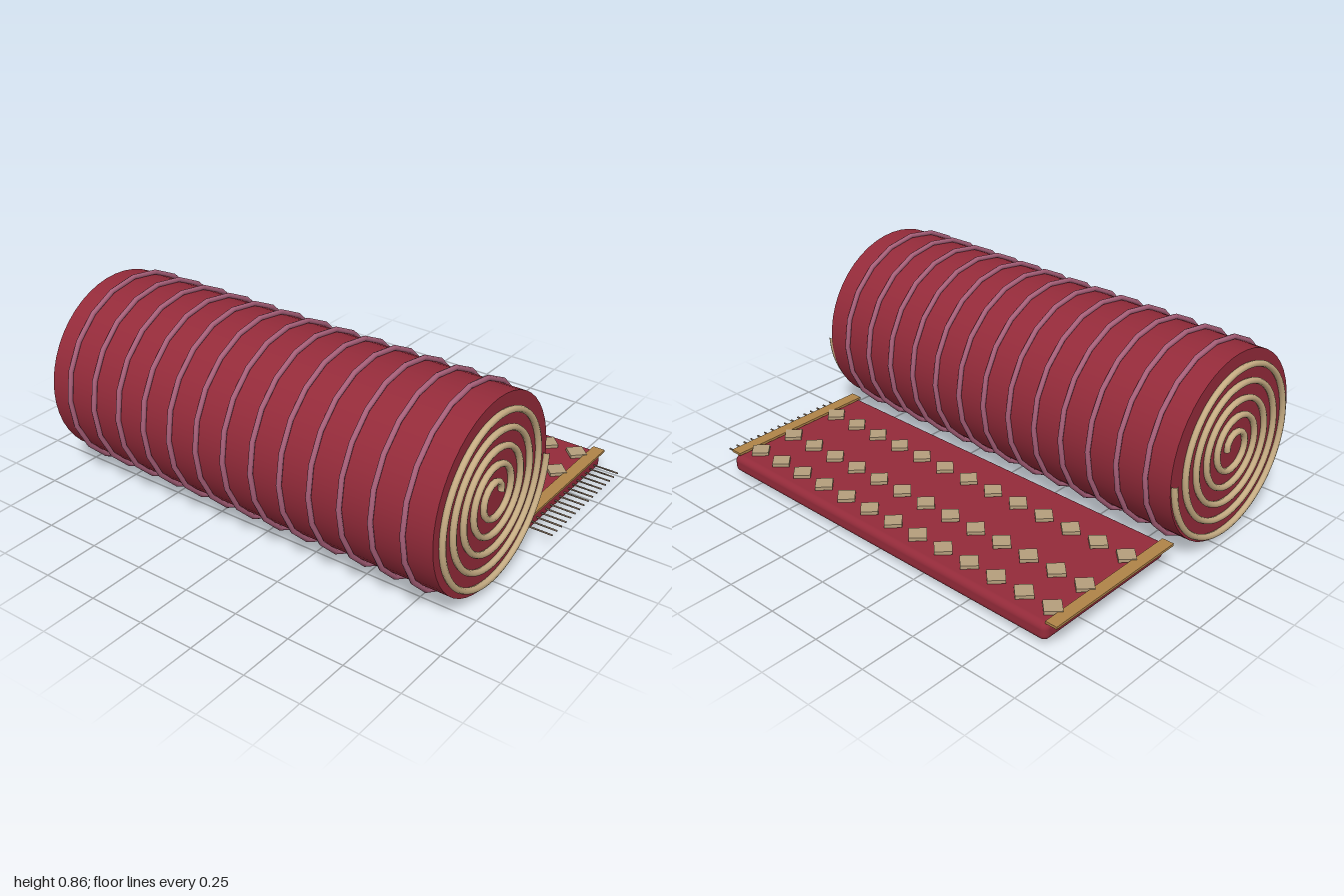
import * as THREE from 'three';
import { RoundedBoxGeometry } from 'three/addons/geometries/RoundedBoxGeometry.js';

const material = (color) => new THREE.MeshStandardMaterial({ color });
const red = material(0x942b3a);
const pink = material(0xa9607a);
const cream = material(0xc8ae84);
const diamondTan = material(0xb59e7c);
const gold = material(0xb08448);
const brown = material(0x7d6a58);

const ROLL_X = -0.31, ROLL_Y = 0.431, ROLL_R = 0.407;
const ROWS = 13;
const rowZ = (i) => 0.81 - i * 0.1396;

function add(parent, name, geometry, mat, x, y, z) {
  const mesh = new THREE.Mesh(geometry, mat);
  mesh.name = name;
  mesh.position.set(x, y, z);
  parent.add(mesh);
  return mesh;
}

// Flat spiral that winds outward by 0.07 per turn
class Spiral extends THREE.Curve {
  getPoint(t, target = new THREE.Vector3()) {
    const a = t * 5 * Math.PI * 2;
    const r = 0.045 + 0.35 * t;
    return target.set(r * Math.cos(a), r * Math.sin(a), 0);
  }
}

function createRoll() {
  const roll = new THREE.Group();
  roll.name = 'rolledRug';
  roll.position.set(ROLL_X, ROLL_Y, 0);

  const body = new THREE.CylinderGeometry(ROLL_R, ROLL_R, 1.905, 48).rotateX(Math.PI / 2);
  add(roll, 'rollBody', body, red, 0, 0, -0.0225);

  // Raised bands around the roll
  const band = new THREE.TorusGeometry(0.419, 0.011, 8, 20);
  for (let i = 0; i < ROWS; i++) add(roll, 'band', band, pink, 0, 0, rowZ(i));

  // Spiral edge on both ends
  const spiral = new THREE.TubeGeometry(new Spiral(), 240, 0.0135, 8, false);
  const tip = new THREE.CircleGeometry(0.0135, 8).rotateX(Math.PI / 2);
  for (const [name, z] of [['frontSpiral', 0.941], ['backSpiral', -0.9865]]) {
    add(roll, name, spiral, cream, 0, 0, z);
    add(roll, name + 'OuterTip', tip, cream, 0.395, 0, z);
  }
  return roll;
}

function createFlatRug() {
  const rug = new THREE.Group();
  rug.name = 'flatRug';
  add(rug, 'rugSlab', new RoundedBoxGeometry(0.73, 0.08, 1.795, 4, 0.028), red, 0.37, 0.068, -0.0125);

  // Border strips across both ends
  const strip = new THREE.BoxGeometry(0.71, 0.011, 0.054);
  add(rug, 'frontBorder', strip, gold, 0.37, 0.1175, 0.876);
  add(rug, 'backBorder', strip, gold, 0.37, 0.1175, -0.928);

  // Three columns of diamond tiles
  const diamond = new THREE.BoxGeometry(0.072, 0.015, 0.072).rotateY(Math.PI / 4);
  for (const x of [0.2, 0.455, 0.64]) {
    for (let i = 0; i < ROWS; i++) add(rug, 'diamond', diamond, diamondTan, x, 0.119, rowZ(i));
  }

  // Fringe on the front end
  const thread = new THREE.CylinderGeometry(0.004, 0.004, 0.13, 6).rotateX(Math.PI / 2);
  for (let i = 0; i < 16; i++) add(rug, 'fringe', thread, brown, 0.08 + i * 0.0393, 0.066, 0.935);
  return rug;
}

export function createModel() {
  const model = new THREE.Group();
  model.name = 'rugs';
  model.add(createRoll(), createFlatRug());
  return model;
}
